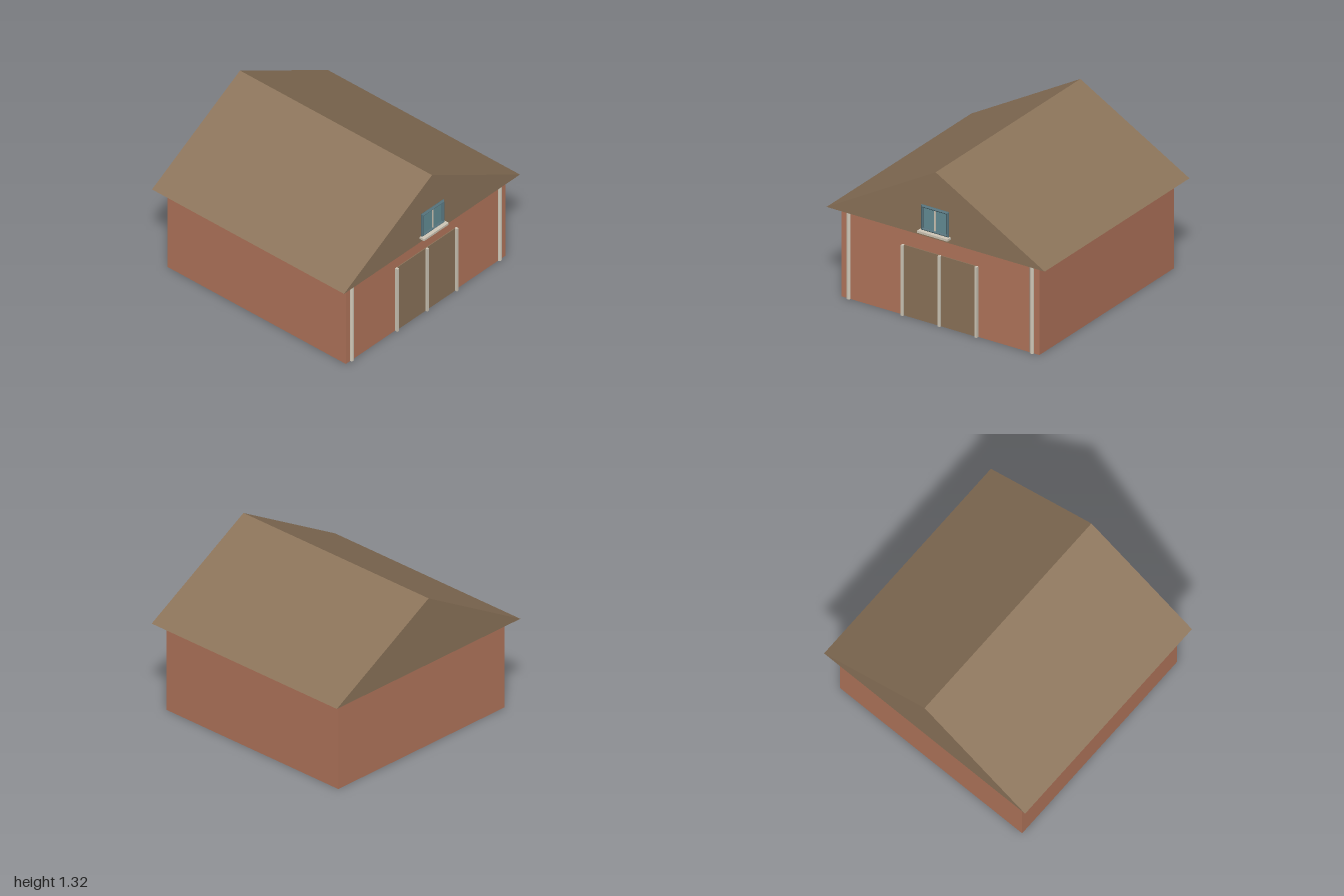
import * as THREE from 'three';

const mat = (color) => new THREE.MeshStandardMaterial({ color, flatShading: true });

export function createModel() {
  const barn = new THREE.Group();
  barn.name = 'barn';
  const brick = mat(0xb3765c), wood = mat(0x8c745a), trim = mat(0xd0c8b8);
  const frameMat = mat(0x54717a), glassMat = mat(0x648e96);

  const add = (name, geometry, material) => {
    const mesh = new THREE.Mesh(geometry, material);
    mesh.name = name;
    barn.add(mesh);
    return mesh;
  };
  // Box given by its limits on each axis
  const box = (name, material, [x0, x1], [y0, y1], [z0, z1]) =>
    add(name, new THREE.BoxGeometry(x1 - x0, y1 - y0, z1 - z0), material)
      .position.set((x0 + x1) / 2, (y0 + y1) / 2, (z0 + z1) / 2);

  // Brick body
  box('walls', brick, [-0.907, 0.907], [0, 0.755], [-0.925, 0.89]);

  // Solid gable roof
  const gable = new THREE.Shape([
    new THREE.Vector2(-1, 0.755), new THREE.Vector2(1, 0.755), new THREE.Vector2(0, 1.32),
  ]);
  add('roof', new THREE.ExtrudeGeometry(gable, { depth: 1.955, bevelEnabled: false }), wood)
    .position.z = -1;

  // Round downpipes and the door with its uprights
  for (const side of [-1, 1]) {
    const name = side > 0 ? 'left' : 'right';
    add(name + 'Downpipe', new THREE.CylinderGeometry(0.018, 0.018, 0.755, 12), trim)
      .position.set(side * 0.84, 0.3775, 0.89);
    box(name + 'DoorPost', trim, [side * 0.338 - 0.01, side * 0.338 + 0.01], [0, 0.595], [0.88, 0.914]);
    box(name + 'DoorPanel', wood, side > 0 ? [0, 0.33] : [-0.33, 0], [0, 0.595], [0.88, 0.897]);
  }
  box('doorMiddlePost', trim, [-0.01, 0.01], [0, 0.595], [0.88, 0.914]);

  // Gable window: bevelled frame, glass, mullion and sill
  const rect = (Type, w, y0, y1) => new Type([
    new THREE.Vector2(-w, y0), new THREE.Vector2(w, y0),
    new THREE.Vector2(w, y1), new THREE.Vector2(-w, y1),
  ]);
  const outline = rect(THREE.Shape, 0.117, 0.816, 1.01);
  outline.holes.push(rect(THREE.Path, 0.113, 0.82, 1.006));
  add('windowFrame', new THREE.ExtrudeGeometry(outline, {
    depth: 0.008, bevelThickness: 0.01, bevelSize: 0.009, bevelSegments: 1,
  }), frameMat).position.z = 0.957;
  box('windowGlass', glassMat, [-0.117, 0.117], [0.816, 1.01], [0.95, 0.961]);
  box('windowMullion', trim, [-0.006, 0.006], [0.825, 1.0], [0.95, 0.967]);
  box('windowSill', trim, [-0.14, 0.14], [0.79, 0.808], [0.95, 1]);

  return barn;
}
